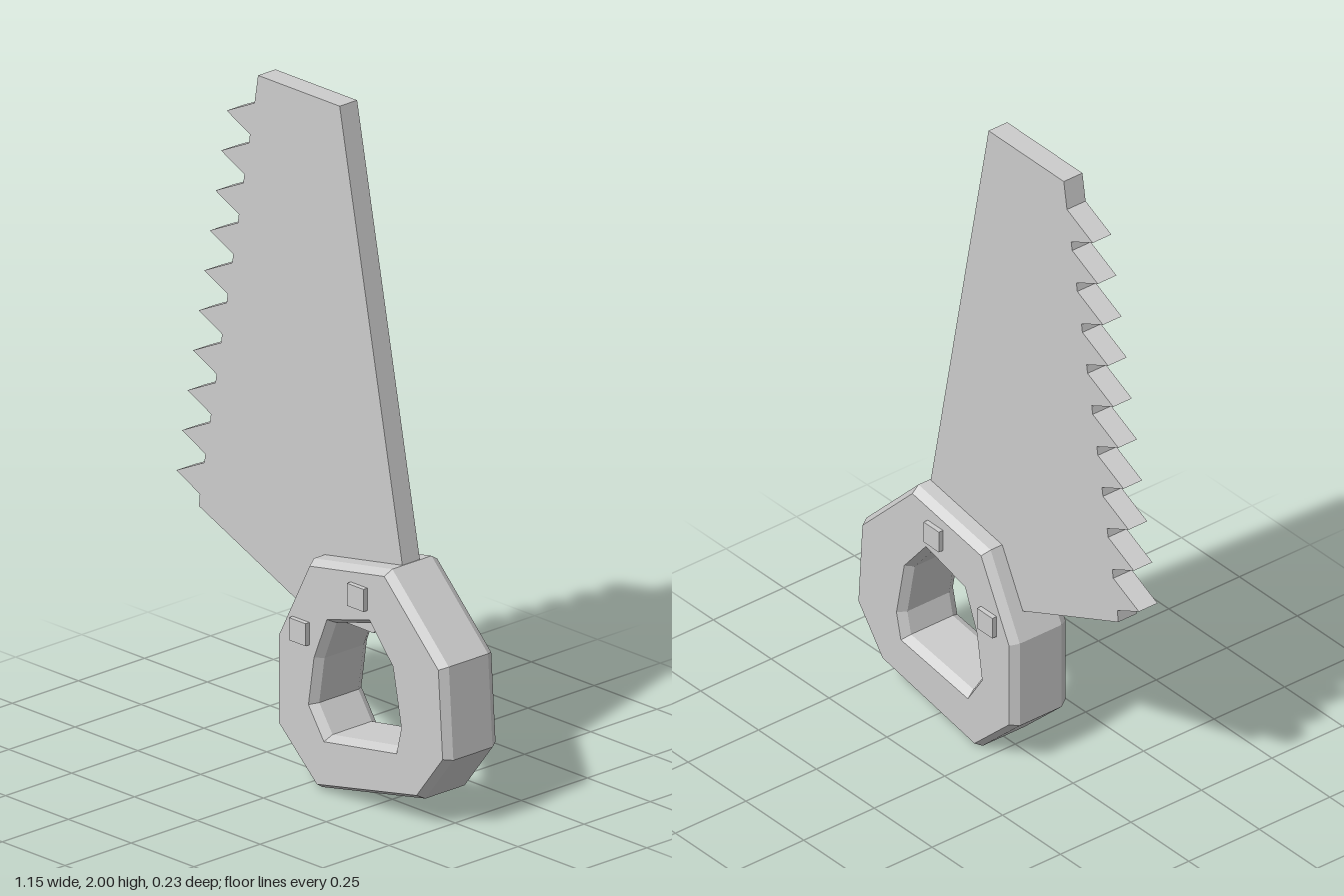
import * as THREE from 'three';

const toPoints = (list) => list.map(([x, y]) => new THREE.Vector2(x, y));

// Extrude an outline, centred on z = 0
function plate(points, depth, material, name, hole, bevel) {
  const shape = new THREE.Shape(toPoints(points));
  if (hole) shape.holes.push(new THREE.Path(toPoints(hole)));
  const core = bevel ? depth - 2 * bevel.thickness : depth;
  const geometry = new THREE.ExtrudeGeometry(shape, {
    depth: core,
    bevelEnabled: !!bevel,
    bevelThickness: bevel ? bevel.thickness : 0,
    bevelSize: bevel ? bevel.size : 0,
    bevelOffset: bevel ? -bevel.size : 0,
    bevelSegments: 1,
  });
  geometry.translate(0, 0, -core / 2);
  const mesh = new THREE.Mesh(geometry, material);
  mesh.name = name;
  return mesh;
}

export function createModel() {
  const group = new THREE.Group();
  group.name = 'handSaw';
  const grey = new THREE.MeshStandardMaterial({ color: 0xcccccc });
  grey.name = 'plain grey';

  // Blade: straight back, toothed front edge, lower end set into the handle
  const outline = [[0.21, 0.49], [0.337, 0.66], [0.325, 0.72], [0.075, 2], [-0.25, 2]];
  for (let i = 0; i < 10; i++) {
    const x = -0.375 - 0.0222 * i;
    const y = 1.862 - 0.1235 * i;
    outline.push([x + 0.111, y + 0.053], [x, y], [x + 0.093, y - 0.044]);
  }
  outline.push([-0.485, 0.67], [-0.07, 0.493]);
  group.add(plate(outline, 0.066, grey, 'blade'));

  // Handle: chunky bevelled ring with a grip hole
  const outer = [
    [0.016, 0.667], [-0.11, 0.423], [-0.11, 0.153], [0.05, 0.005],
    [0.46, 0.085], [0.571, 0.228], [0.553, 0.497], [0.328, 0.722],
  ];
  const grip = [
    [0.106, 0.503], [0.259, 0.545], [0.344, 0.444], [0.376, 0.28],
    [0.36, 0.212], [0.09, 0.17], [0.037, 0.249], [0.058, 0.386],
  ];
  group.add(plate(outer, 0.2, grey, 'handle', grip, { thickness: 0.026, size: 0.015 }));

  // Square rivets on both faces of the handle
  const rivet = new THREE.BoxGeometry(0.066, 0.066, 0.03);
  for (const [x, y] of [[-0.008, 0.455], [0.223, 0.62]]) {
    for (const side of [1, -1]) {
      const mesh = new THREE.Mesh(rivet, grey);
      mesh.name = side > 0 ? 'frontRivet' : 'backRivet';
      mesh.position.set(x, y, side * 0.1);
      group.add(mesh);
    }
  }
  return group;
}
